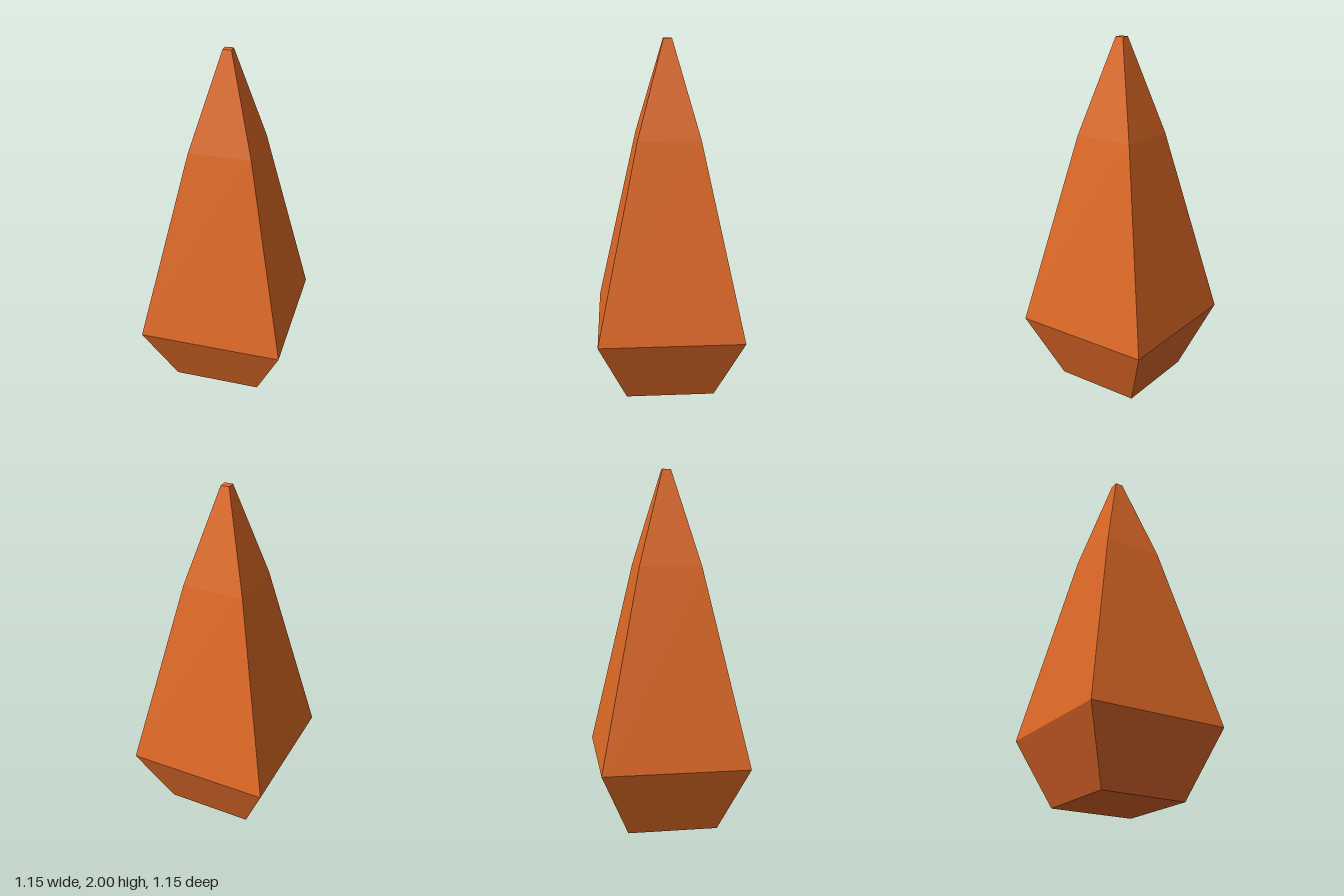
import * as THREE from 'three';

export function createModel() {
  const model = new THREE.Group();
  model.name = 'fourSidedCone';

  const orange = new THREE.MeshStandardMaterial({ color: 0xdd6826 });
  orange.name = 'burnt orange';
  orange.flatShading = true;

  // Square rings from base to tip: [corner radius, height]
  const rings = [[0.355, 0], [0.575, 0.38], [0.245, 1.47], [0.033, 2]];
  const names = ['flaredBase', 'taperedBody', 'pointedTop'];

  // Each tier is an open four-sided frustum between two rings
  names.forEach((name, i) => {
    const [r0, y0] = rings[i];
    const [r1, y1] = rings[i + 1];
    const tier = new THREE.Mesh(new THREE.CylinderGeometry(r1, r0, y1 - y0, 4, 1, true), orange);
    tier.position.y = (y0 + y1) / 2;
    tier.name = name;
    model.add(tier);
  });

  // Flat square caps close the bottom and the tip
  const addCap = (name, [radius, y], tilt) => {
    const cap = new THREE.Mesh(new THREE.CircleGeometry(radius, 4), orange);
    cap.rotation.x = tilt;
    cap.position.y = y;
    cap.name = name;
    model.add(cap);
  };
  addCap('bottomCap', rings[0], Math.PI / 2);
  addCap('tipCap', rings[3], -Math.PI / 2);

  return model;
}
